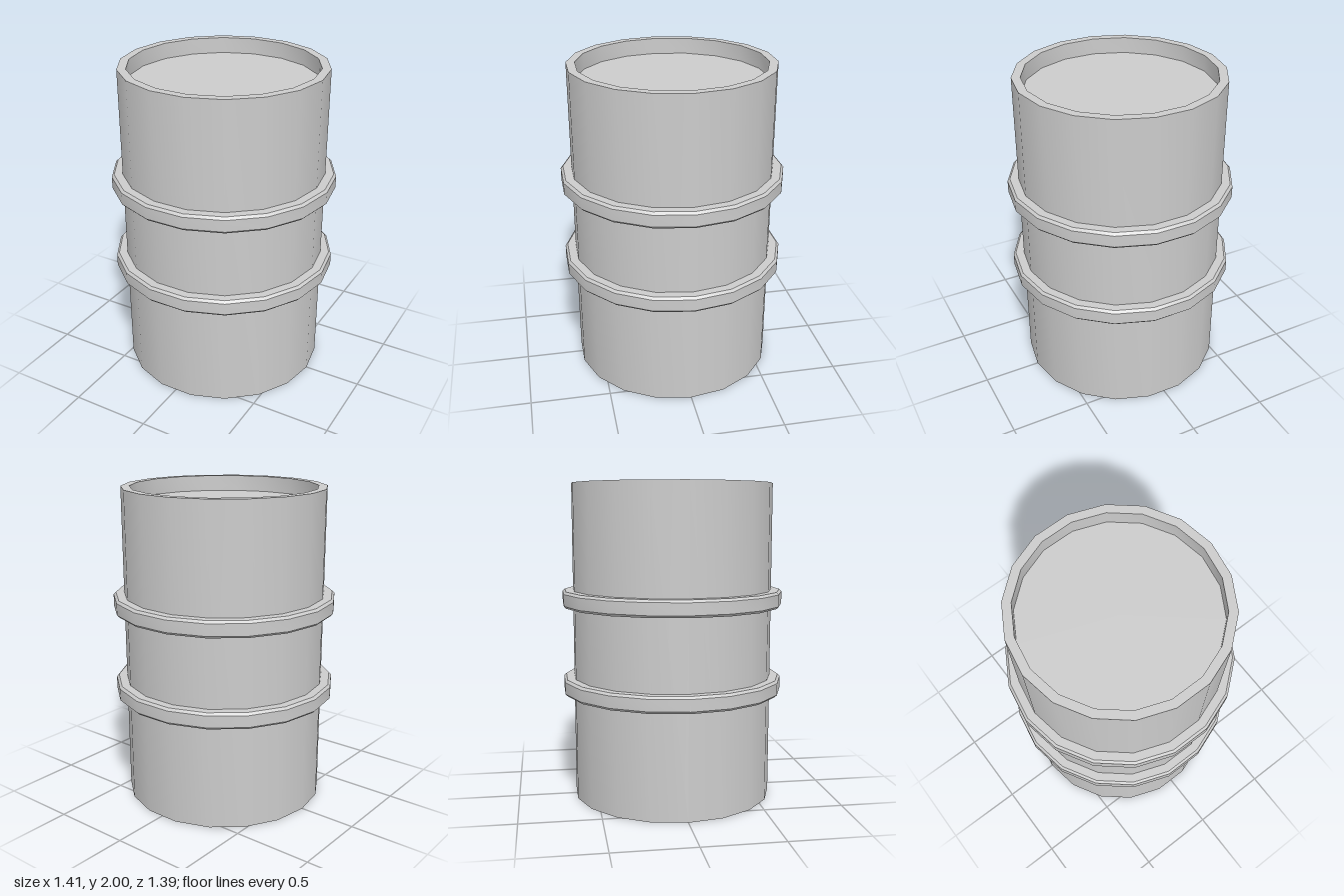
import * as THREE from 'three';
import { toCreasedNormals } from 'three/addons/utils/BufferGeometryUtils.js';

const SIDES = 18;
const material = new THREE.MeshStandardMaterial({ color: 0xcccccc });

// Revolve a [radius, height] profile, smooth around but sharp at its corners
function revolve(name, profile) {
  const points = profile.map(([r, y]) => new THREE.Vector2(r, y));
  const lathe = new THREE.LatheGeometry(points, SIDES, Math.PI / 2);
  const mesh = new THREE.Mesh(toCreasedNormals(lathe, Math.PI / 6), material);
  mesh.name = name;
  return mesh;
}

export function createModel() {
  const barrel = new THREE.Group();
  barrel.name = 'barrel';

  // Closed drum with a raised rim around a sunken lid
  const R = 0.637, rimInner = 0.583, lidY = 1.9;
  barrel.add(revolve('drumBody', [
    [0, 0], [R, 0], [R, 2], [rimInner, 2], [rimInner, lidY], [0, lidY],
  ]));

  // Two bevelled hoops around the body
  const hoopR = 0.705, half = 0.052, bevel = 0.015;
  const hoopProfile = [
    [R - 0.01, -half], [hoopR - bevel, -half], [hoopR, -half + bevel],
    [hoopR, half - bevel], [hoopR - bevel, half], [R - 0.01, half],
  ];
  for (const [name, y] of [['lowerHoop', 0.726], ['upperHoop', 1.281]]) {
    const hoop = revolve(name, hoopProfile);
    hoop.position.y = y;
    barrel.add(hoop);
  }

  return barrel;
}
